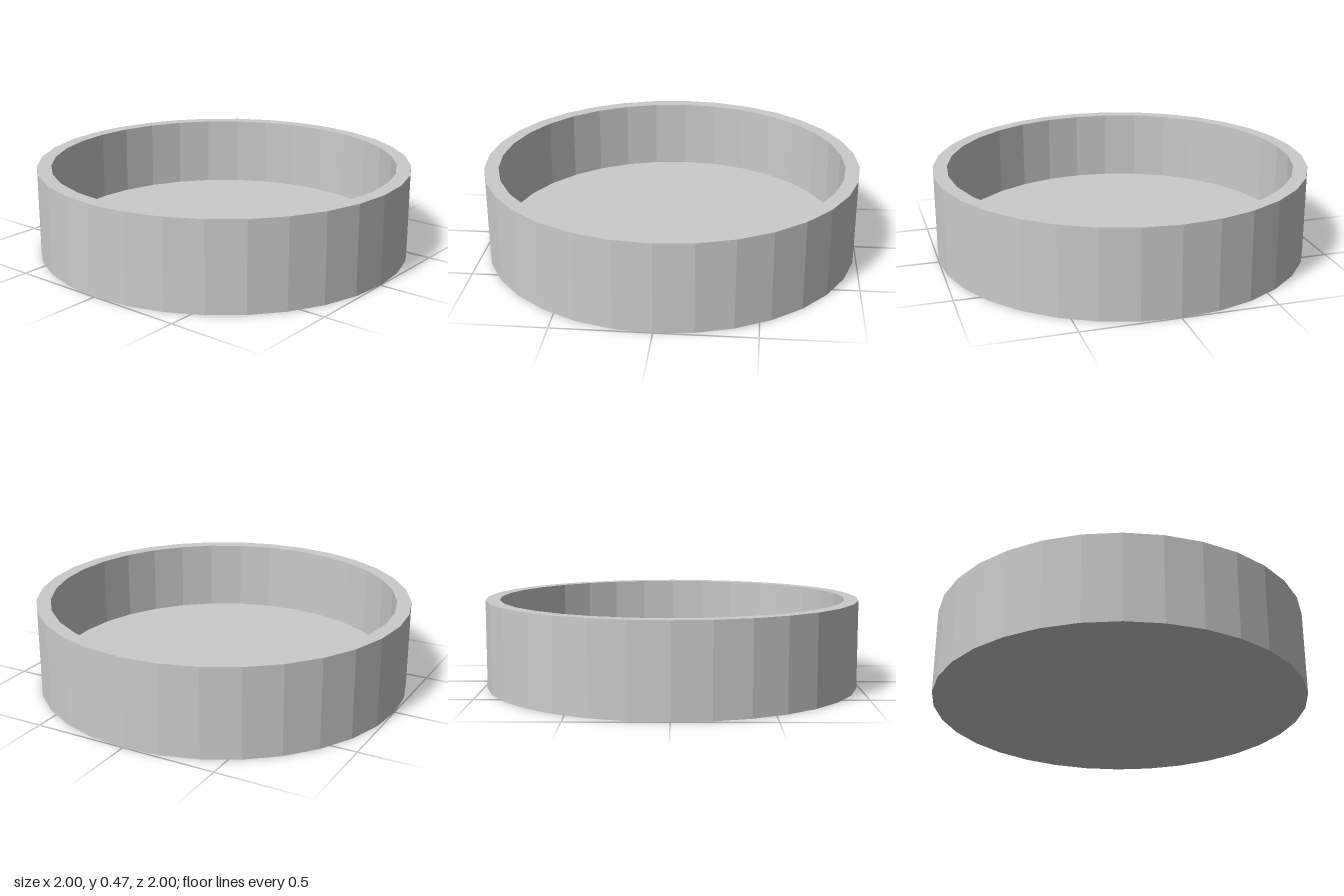
import * as THREE from 'three';

export function createModel() {
  const group = new THREE.Group();
  group.name = 'roundTray';

  const outer = 1, inner = 0.925, height = 0.47, floor = 0.09, sides = 32;

  // Closed section: underside, outer wall, rim, inner wall, floor
  const profile = [
    [0, 0], [outer, 0], [outer, height], [inner, height], [inner, floor], [0, floor],
  ].map(([r, y]) => new THREE.Vector2(r, y));

  const tray = new THREE.Mesh(
    new THREE.LatheGeometry(profile, sides),
    new THREE.MeshStandardMaterial({ color: 0xcccccc, flatShading: true })
  );
  tray.name = 'trayBody';
  group.add(tray);

  return group;
}
